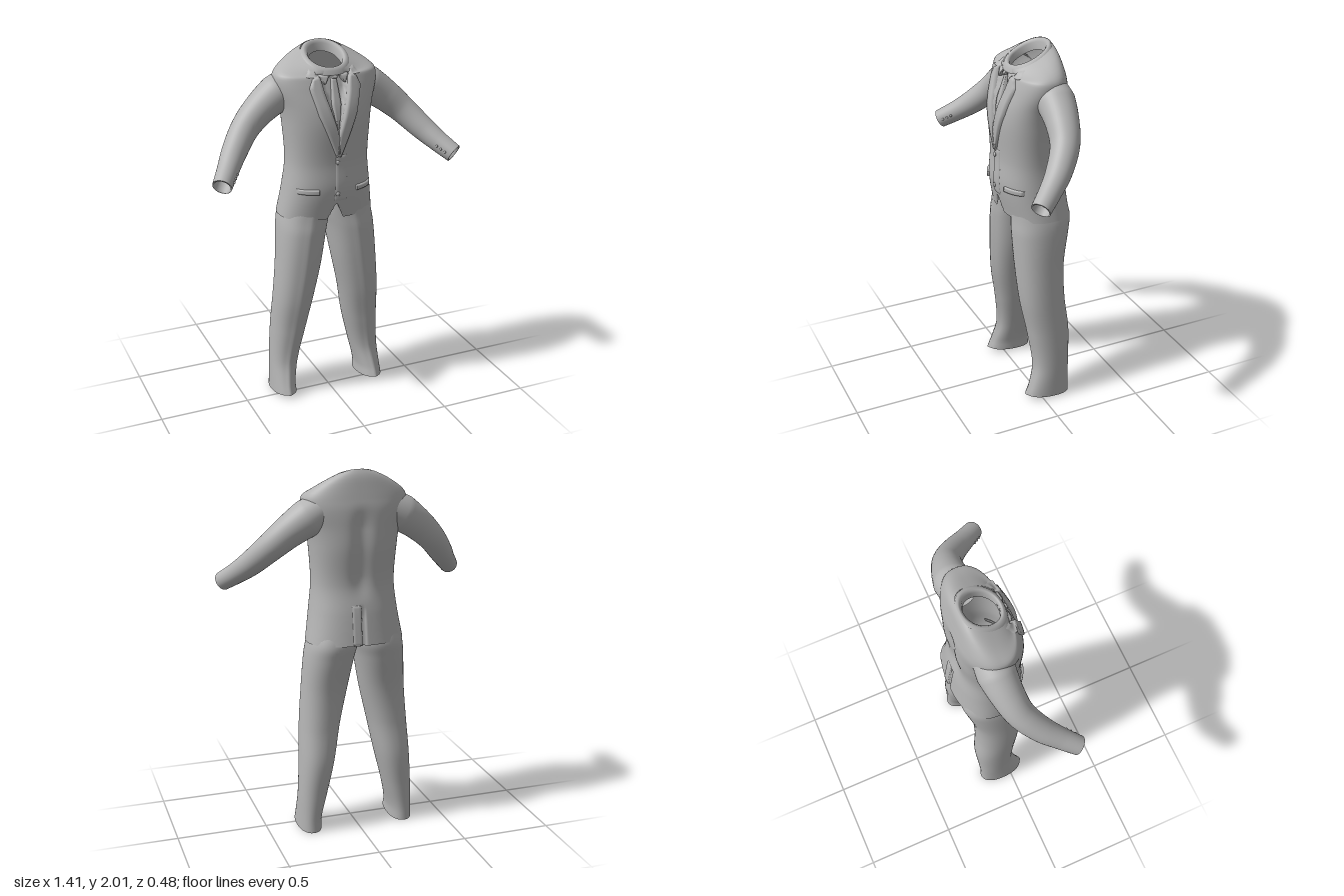
import * as THREE from 'three';

const cloth = new THREE.MeshStandardMaterial({ color: 0xb4b4b4, side: THREE.DoubleSide });
cloth.name = 'grey cloth';

// Jacket body sections: y, half width, front z, back z
const BODY = [
  [1.08, 0.268, 0.112, -0.243], [1.25, 0.24, 0.142, -0.222], [1.4, 0.225, 0.136, -0.2],
  [1.6, 0.237, 0.145, -0.216], [1.7, 0.252, 0.135, -0.216], [1.8, 0.282, 0.105, -0.211],
  [1.86, 0.282, 0.085, -0.2], [1.89, 0.255, 0.078, -0.19], [1.92, 0.195, 0.072, -0.178],
  [1.945, 0.125, 0.07, -0.162],
];
// Left leg sections: y, inner x, outer x, front z, back z
const LEG = [
  [0.012, 0.2, 0.335, 0.085, -0.172], [0.07, 0.2, 0.332, 0.065, -0.17], [0.2, 0.172, 0.326, 0.032, -0.175],
  [0.4, 0.125, 0.316, 0.052, -0.184], [0.6, 0.086, 0.305, 0.085, -0.166], [0.8, 0.043, 0.29, 0.1, -0.17],
  [1.0, 0.006, 0.275, 0.105, -0.208], [1.08, -0.012, 0.262, 0.1, -0.22], [1.2, -0.02, 0.225, 0.1, -0.19],
];
// Left sleeve centre line and radii
const ARM = [
  [0.18, 1.80, -0.085, 0.09], [0.26, 1.755, -0.082, 0.1], [0.36, 1.685, -0.068, 0.086], [0.45, 1.605, -0.038, 0.075],
  [0.54, 1.508, 0.04, 0.066], [0.6, 1.445, 0.115, 0.057], [0.66, 1.388, 0.195, 0.051],
];

// Smooth interpolation of a section table by its first column
function section(table, y) {
  let i = 0;
  while (i < table.length - 2 && y > table[i + 1][0]) i++;
  const p = table[i], q = table[i + 1], h = q[0] - p[0];
  const a = table[Math.max(i - 1, 0)], b = table[Math.min(i + 2, table.length - 1)];
  const t = THREE.MathUtils.clamp((y - p[0]) / h, 0, 1), t2 = t * t, t3 = t2 * t;
  return p.map((v, k) => {
    const m0 = (q[k] - a[k]) / (q[0] - a[0]) * h, m1 = (b[k] - v) / (b[0] - p[0]) * h;
    return (2 * t3 - 3 * t2 + 1) * v + (t3 - 2 * t2 + t) * m0 + (3 * t2 - 2 * t3) * q[k] + (t3 - t2) * m1;
  });
}

// Surface from a grid of points; closed joins the last column to the first
function grid(rows, cols, closed, fn) {
  const pos = [], idx = [], n = closed ? cols : cols + 1;
  for (let r = 0; r <= rows; r++) for (let c = 0; c < n; c++) pos.push(...fn(r, c));
  for (let r = 0; r < rows; r++) for (let c = 0; c < cols; c++) {
    const a = r * n + c, b = r * n + (c + 1) % n;
    idx.push(a, b, a + n, b, b + n, a + n);
  }
  const g = new THREE.BufferGeometry();
  g.setAttribute('position', new THREE.Float32BufferAttribute(pos, 3));
  g.setIndex(idx);
  g.computeVertexNormals();
  return g;
}

// Unit rounded-box outline; angle 0 faces +z
function outline(angle, n) {
  const s = Math.sin(angle), c = Math.cos(angle);
  const r = 1 / Math.pow(Math.abs(s) ** n + Math.abs(c) ** n, 1 / n);
  return [s * r, c * r];
}

// The shoulders tip forward so that the neckline is lower in front
const tilt = (y, dz) => y - dz * 0.5 * THREE.MathUtils.smoothstep(y, 1.85, 1.945);

// Point on the jacket front (side 1) or back (side -1)
function onBody(x, y, lift, side = 1) {
  const [, w, f, b] = section(BODY, y);
  const u = Math.min(Math.abs(x) / w, 1), mid = (f + b) / 2;
  const dz = side * ((f - b) / 2 * Math.pow(1 - u ** 2.4, 1 / 2.4) + lift);
  return [x, tilt(y, dz), mid + dz];
}

export function createModel() {
  const model = new THREE.Group();
  const add = (name, geometry, parent = model) => {
    const m = new THREE.Mesh(geometry, cloth);
    m.name = name;
    parent.add(m);
    return m;
  };

  // Jacket body with sunken neck opening, cutaway hem, spine hollow and vent
  add('jacketBody', grid(80, 128, true, (r, c) => {
    const y0 = 1.085 + (1.945 - 1.085) * r / 80;
    const [, w, f, b] = section(BODY, y0);
    const [ox, oz] = outline(c / 128 * Math.PI * 2, 2.4);
    const x = ox * w;
    let y = y0, dz = oz * (f - b) / 2;
    if (oz > 0) {
      const inV = Math.min(1, ((y - 1.57) * 0.3 - Math.abs(x)) / 0.012);
      if (inV > 0) dz -= 0.028 * inV * (1 - THREE.MathUtils.smoothstep(y, 1.88, 1.93));
      y = Math.max(y, 1.085 + 0.1 * (1 - Math.abs(x + 0.005) / 0.045));
    } else {
      const k = THREE.MathUtils.smoothstep(y, 1.3, 1.45) * (1 - THREE.MathUtils.smoothstep(y, 1.7, 1.85));
      dz += 0.016 * k * Math.exp(-((x / 0.05) ** 2));
      if (y < 1.3 && Math.abs(x) < 0.006) dz += 0.022 * Math.min(1, (1.3 - y) / 0.06);
    }
    return [x, tilt(y, dz), (f + b) / 2 + dz];
  }));

  // Raised cloth panel between two edge polylines
  const S = [0, 0.07, 0.3, 0.5, 0.7, 0.93, 1], ROWS = 20;
  const along = (line, t) => {
    const k = t * (line.length - 1), i = Math.min(Math.floor(k), line.length - 2), u = k - i;
    return [0, 1].map(j => line[i][j] * (1 - u) + line[i + 1][j] * u);
  };
  const panel = (name, a, b, base, h, mirror = 1, side = 1) => add(name, grid(ROWS, S.length - 1, false, (r, c) => {
    const end = r === 0 || r === ROWS, rim = end || c === 0 || c === S.length - 1;
    const t = r === 0 ? 0 : r === ROWS ? 1 : 0.02 + 0.96 * (r - 1) / (ROWS - 2);
    const p = along(a, t), q = along(b, t), s = S[c];
    return onBody(mirror * (p[0] + (q[0] - p[0]) * s), p[1] + (q[1] - p[1]) * s, rim ? base : base + h, side);
  }));

  for (const m of [1, -1]) {
    const side = m > 0 ? 'left' : 'right';
    panel(side + 'Lapel', [[0.085, 1.89], [0.062, 1.78], [0.03, 1.67], [-0.003, 1.56], [-0.008, 1.44]],
      [[0.122, 1.855], [0.146, 1.81], [0.108, 1.67], [0.062, 1.56], [0.008, 1.43]], -0.008, 0.02, m);
    panel(side + 'CollarLeaf', [[0.082, 1.885], [0.09, 1.91], [0.098, 1.938]],
      [[0.15, 1.872], [0.15, 1.905], [0.125, 1.938]], -0.006, 0.018, m);
    panel(side + 'ShirtCollarPoint', [[0.006, 1.915], [0.022, 1.87], [0.052, 1.825]],
      [[0.085, 1.92], [0.085, 1.87], [0.058, 1.822]], -0.03, 0.028, m);
    panel(side + 'PocketFlap', [[0.105, 1.268], [0.21, 1.268]], [[0.105, 1.238], [0.21, 1.24]], -0.004, 0.016, m);
  }
  panel('tieKnot', [[-0.024, 1.905], [-0.015, 1.85]], [[0.024, 1.905], [0.015, 1.85]], -0.03, 0.034);
  panel('tie', [[-0.014, 1.855], [-0.026, 1.72], [-0.004, 1.575]], [[0.014, 1.855], [0.026, 1.72], [0.004, 1.575]], -0.03, 0.02);
  panel('frontOverlap', [[-0.014, 1.45], [-0.022, 1.19]], [[0.05, 1.45], [0.05, 1.19]], -0.003, 0.007);
  panel('ventFlap', [[0.008, 1.3], [0.008, 1.088]], [[0.06, 1.3], [0.06, 1.088]], -0.004, 0.008, 1, -1);

  // Jacket buttons
  for (const y of [1.41, 1.235]) {
    const button = add('jacketButton', new THREE.SphereGeometry(0.012, 16, 10));
    button.position.set(...onBody(-0.005, y, 0.006));
    button.scale.z = 0.6;
  }

  // Folded collar: half width, half depth, height at the middle
  const COLLAR = [[0.136, 0.124, 1.925], [0.126, 0.118, 1.945], [0.112, 0.108, 1.953],
    [0.1, 0.1, 1.952], [0.09, 0.092, 1.94], [0.086, 0.088, 1.9]];
  add('collar', grid(COLLAR.length - 1, 64, true, (r, c) => {
    const [w, d, y] = COLLAR[r], [ox, oz] = outline(c / 64 * Math.PI * 2, 2.1);
    return [ox * w, y - oz * d * 0.5, -0.045 + oz * d];
  }));

  // Sleeves with turned-in cuffs and small cuff buttons
  const up = new THREE.Vector3(0, 1, 0);
  for (const m of [1, -1]) {
    const side = m > 0 ? 'left' : 'right';
    const curve = new THREE.CatmullRomCurve3(ARM.map(p => new THREE.Vector3(m * p[0], p[1], p[2])));
    const sleevePoint = (t, angle, scale = 1, extra = 0) => {
      const k = t * (ARM.length - 1), i = Math.min(Math.floor(k), ARM.length - 2);
      const rad = THREE.MathUtils.lerp(ARM[i][3], ARM[i + 1][3], k - i) * scale + extra;
      const T = curve.getTangent(t), B = new THREE.Vector3().crossVectors(T, up).normalize();
      const N = new THREE.Vector3().crossVectors(B, T);
      return curve.getPoint(t).addScaledVector(N, rad * Math.cos(angle)).addScaledVector(B, rad * Math.sin(angle));
    };
    const arm = new THREE.Group();
    arm.name = side + 'Arm';
    model.add(arm);
    add(side + 'Sleeve', grid(48, 36, true, (r, c) => sleevePoint(r / 48, c / 36 * Math.PI * 2).toArray()), arm);
    const CUFF = [[1, 1], [1, 0.86], [0.97, 0.8], [0.85, 0.72]];
    add(side + 'Cuff', grid(3, 36, true, (r, c) => sleevePoint(CUFF[r][0], c / 36 * Math.PI * 2, CUFF[r][1]).toArray()), arm);
    for (let i = 0; i < 3; i++) {
      const b = add('cuffButton', new THREE.SphereGeometry(0.007, 10, 8), arm);
      b.position.copy(sleevePoint(0.95 - i * 0.04, -m * Math.PI * 0.5 + Math.PI, 1, 0.001));
    }

    // Trouser leg with a soft front crease; the hem rises slightly in front
    add(side + 'TrouserLeg', grid(70, 56, true, (r, c) => {
      const y = 0.012 + 1.188 * r / 70;
      const [, xi, xo, f, b] = section(LEG, y);
      const [ox, oz] = outline(c / 56 * Math.PI * 2, 2.25);
      const crease = oz > 0 ? 0.008 * Math.exp(-((ox / 0.2) ** 2)) : 0;
      const hem = 0.012 * oz * (1 - THREE.MathUtils.smoothstep(y, 0.012, 0.1));
      return [m * ((xi + xo) / 2 + ox * (xo - xi) / 2), y + hem, (f + b) / 2 + oz * (f - b) / 2 + crease - 0.004];
    }));
  }
  return model;
}
